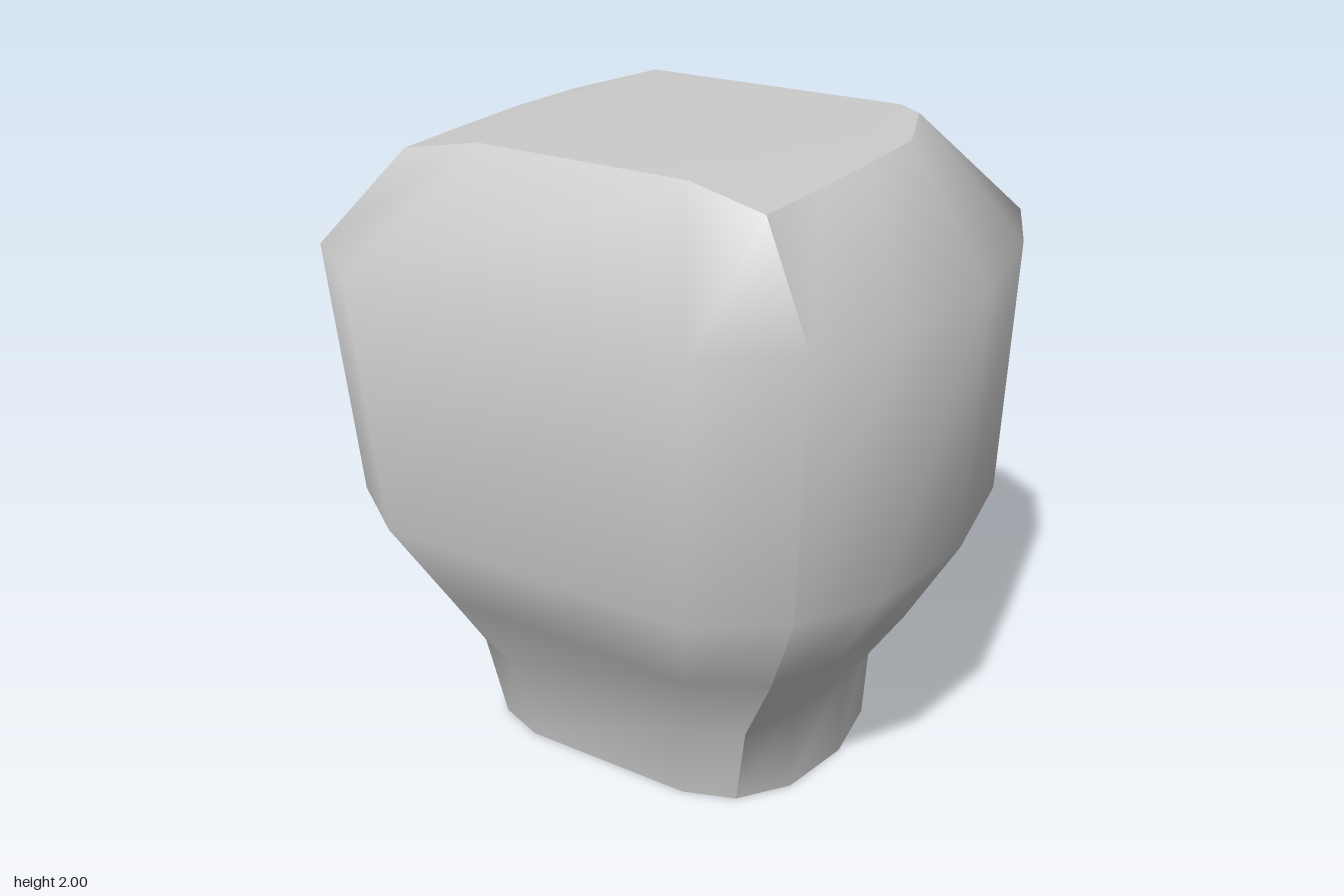
import * as THREE from 'three';

// Upright edge lines on the +x half, each running from base to crown: [x, y, z]
const frontInner = [[.29, 0, .46], [.33, .28, .51], [.43, .57, .67], [.52, .86, .825], [.57, 1.67, .875], [.35, 2, .525]];
const frontCorner = [[.45, 0, .4], [.5, .28, .435], [.65, .57, .55], [.77, .86, .65], [.82, 1.67, .7], [.6, 1.955, .55]];
const sideFront = [[.56, 0, .25], [.57, .28, .26], [.75, .57, .34], [.91, .86, .41], [.94, 1.67, .44], [.61, 1.96, .28]];
const sideMiddle = [[.6, 0, 0], [.61, .28, 0], [.8, .57, 0], [.965, .86, 0], [.99, 1.67, 0], [.615, 1.965, 0]];
const sideBack = [[.56, 0, -.24], [.57, .31, -.26], [.73, .64, -.34], [.89, .86, -.42], [.91, 1.67, -.44], [.605, 1.965, -.28]];
const backCorner = [[.45, 0, -.365], [.49, .37, -.4], [.63, .75, -.515], [.73, .86, -.705], [.78, 1.67, -.735], [.51, 1.98, -.53]];
const backInner = [[.29, 0, -.4], [.31, .37, -.405], [.43, .75, -.515], [.52, .86, -.82], [.57, 1.67, -.875], [.45, 2, -.525]];

const mirror = (line) => line.map(([x, y, z]) => [-x, y, z]);

// Smooth surface through upright lines listed left to right as seen from outside
function patch(lines) {
  const rows = lines[0].length;
  const index = [];
  for (let c = 0; c < lines.length - 1; c++) {
    for (let r = 0; r < rows - 1; r++) {
      const a = c * rows + r, b = a + rows;
      index.push(a, b, b + 1, a, b + 1, a + 1);
    }
  }
  const geometry = new THREE.BufferGeometry();
  geometry.setAttribute('position', new THREE.Float32BufferAttribute(lines.flat(2), 3));
  geometry.setIndex(index);
  geometry.computeVertexNormals();
  return geometry;
}

export function createModel() {
  const group = new THREE.Group();
  const material = new THREE.MeshStandardMaterial({ color: 0xcccccc });
  const add = (name, geometry) => {
    const mesh = new THREE.Mesh(geometry, material);
    mesh.name = name;
    group.add(mesh);
  };

  // Outer walls, meeting in sharp edges at the four corners
  const side = [frontCorner, sideFront, sideMiddle, sideBack, backCorner];
  add('frontWall', patch([mirror(frontCorner), mirror(frontInner), frontInner, frontCorner]));
  add('backWall', patch([backCorner, backInner, mirror(backInner), mirror(backCorner)]));
  add('leftWall', patch(side));
  add('rightWall', patch(side.map(mirror).reverse()));

  // Crown: flat middle strip with sides that dip to the walls
  const rim = side.map((line) => line[5]);
  const middle = [frontInner[5], [.37, 2, .28], [.4, 2, 0], [.42, 2, -.28], backInner[5]];
  add('crown', patch([mirror(rim), mirror(middle), middle, rim]));

  // Underside with a rectangular opening
  const half = [frontInner, ...side, backInner].map((line) => line[0]);
  const outline = [...half, ...mirror(half).reverse()];
  const hole = (hx, hz, y) => [[hx, y, hz], [hx, y, -hz], [-hx, y, -hz], [-hx, y, hz]];
  const low = hole(.29, .23, 0), high = hole(.37, .27, .45);
  const to2D = ([x, , z]) => new THREE.Vector2(x, z);
  const shape = new THREE.Shape(outline.map(to2D));
  shape.holes.push(new THREE.Path(low.map(to2D)));
  add('underside', new THREE.ShapeGeometry(shape).rotateX(Math.PI / 2));

  // Socket walls and ceiling, facing inward
  for (let i = 0; i < 4; i++) {
    const j = (i + 1) % 4;
    add('socketWall', patch([[low[j], high[j]], [low[i], high[i]]]));
  }
  add('socketCeiling', patch([[high[3], high[2]], [high[0], high[1]]].reverse()));

  return group;
}
